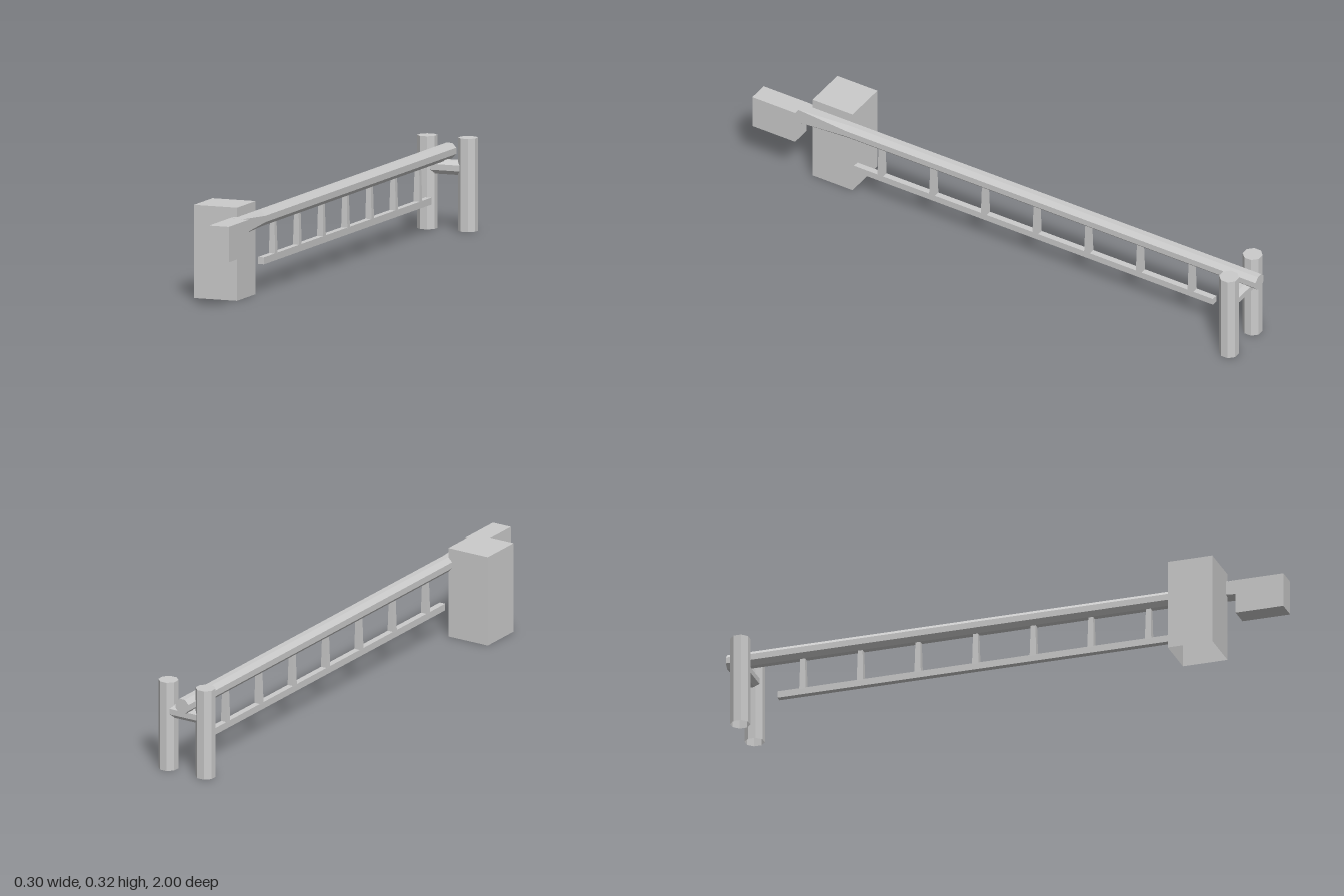
import * as THREE from 'three';

const APOTHEM = Math.cos(Math.PI / 8);

export function createModel() {
  const model = new THREE.Group();
  const material = new THREE.MeshStandardMaterial({
    color: 0xcccccc, flatShading: true, side: THREE.DoubleSide,
  });

  function add(name, geometry, x, y, z) {
    const mesh = new THREE.Mesh(geometry, material);
    mesh.name = name;
    mesh.position.set(x, y, z);
    model.add(mesh);
    return mesh;
  }

  // Box given by its lower and upper limits on each axis
  function addBox(name, [x0, x1], [y0, y1], [z0, z1]) {
    const geometry = new THREE.BoxGeometry(x1 - x0, y1 - y0, z1 - z0);
    return add(name, geometry, (x0 + x1) / 2, (y0 + y1) / 2, (z0 + z1) / 2);
  }

  // Octagonal bar along y with flat sides facing the axes
  function octagon(halfWidth, length, segments = 1, open = false) {
    const r = halfWidth / APOTHEM;
    return new THREE.CylinderGeometry(r, r, length, 8, segments, open, Math.PI / 8);
  }

  const beamX = 0.021;

  // Pivot housing, hollow with no bottom face
  const housing = addBox('pivotHousing', [-0.15, 0.01], [0, 0.32], [0.635, 0.795]);
  const boxIndex = Array.from(housing.geometry.index.array);
  boxIndex.splice(18, 6);
  housing.geometry.setIndex(boxIndex);
  housing.geometry.clearGroups();

  // Counterweight on the short end of the beam
  addBox('counterweight', [-0.005, 0.068], [0.165, 0.287], [0.829, 1]);

  // Beam: octagonal, blending to a square section at the counterweight
  const half = 0.0262, back = -1, taper = 0.636, front = 0.829;
  const beam = octagon(half, 2, 2);
  const p = beam.attributes.position;
  for (let i = 0; i < p.count; i++) {
    const level = p.getY(i);
    if (level > 0.5) {
      const atCentre = Math.hypot(p.getX(i), p.getZ(i)) < 0.001;
      if (!atCentre) {
        p.setX(i, Math.sign(p.getX(i)) * half);
        p.setZ(i, Math.sign(p.getZ(i)) * half);
      }
      p.setY(i, front);
    } else {
      p.setY(i, level < -0.5 ? back : taper);
    }
  }
  beam.rotateX(Math.PI / 2);
  beam.computeVertexNormals();
  add('beam', beam, beamX, 0.261, 0);

  // Lower rail hung below the beam on tapered struts
  addBox('lowerRail', [0.01, 0.032], [0.101, 0.125], [-0.82, 0.615]);
  for (let i = 0; i < 7; i++) {
    const strut = new THREE.CylinderGeometry(0.0085 * Math.SQRT2, 0.0115 * Math.SQRT2, 0.12, 4, 1, true, Math.PI / 4);
    add('strut', strut, beamX, 0.181, 0.51 - i * 0.2067);
  }

  // Two rest posts, open underneath, joined by a crossbar
  for (const x of [-0.034, 0.117]) {
    const post = octagon(0.032, 0.32);
    post.setIndex(Array.from(post.index.array).slice(0, -24));
    post.clearGroups();
    add('restPost', post, x, 0.16, -0.938);
  }
  const crossbar = octagon(0.0245, 0.151, 1, true).rotateZ(Math.PI / 2);
  add('restCrossbar', crossbar, 0.0415, 0.215, -0.938);

  return model;
}
